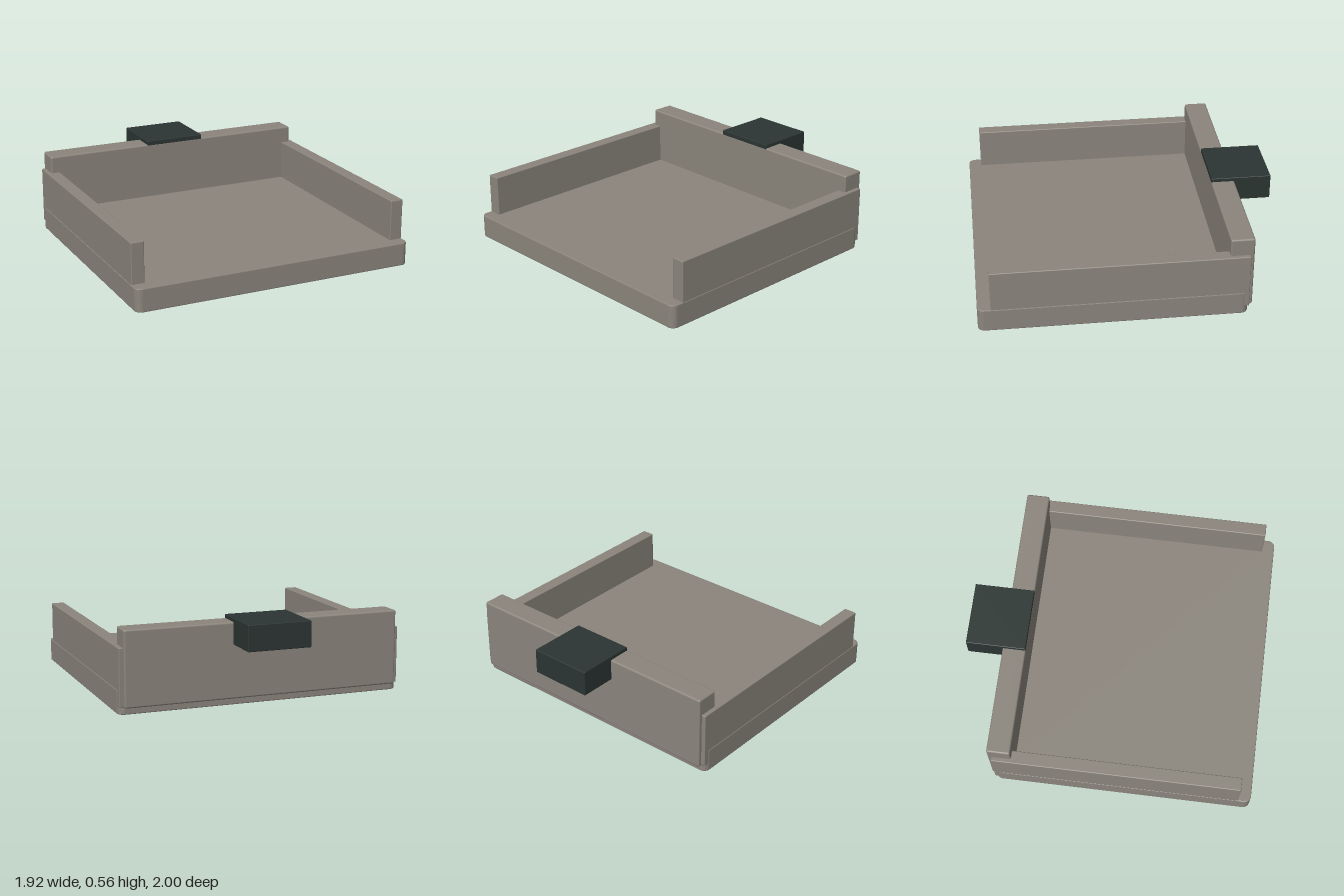
import * as THREE from 'three';
import { RoundedBoxGeometry } from 'three/addons/geometries/RoundedBoxGeometry.js';

const stone = new THREE.MeshStandardMaterial({ color: 0x8b857c });
stone.name = 'warm grey';
const dark = new THREE.MeshStandardMaterial({ color: 0x2b3533 });
dark.name = 'dark slate';

// Slightly rounded box given by its lower and upper corners
function block(name, material, [x0, y0, z0], [x1, y1, z1], radius) {
  const geometry = new RoundedBoxGeometry(x1 - x0, y1 - y0, z1 - z0, 3, radius);
  const mesh = new THREE.Mesh(geometry, material);
  mesh.name = name;
  mesh.position.set((x0 + x1) / 2, (y0 + y1) / 2, (z0 + z1) / 2);
  return mesh;
}

// Horizontal slab with rounded corners and a fine bevel on its edges
function slab(name, material, [x0, y0, z0], [x1, y1, z1], corner, bevel) {
  const a = x0 + bevel, b = x1 - bevel, c = -z1 + bevel, d = -z0 - bevel, r = corner - bevel;
  const shape = new THREE.Shape();
  shape.absarc(b - r, c + r, r, -Math.PI / 2, 0);
  shape.absarc(b - r, d - r, r, 0, Math.PI / 2);
  shape.absarc(a + r, d - r, r, Math.PI / 2, Math.PI);
  shape.absarc(a + r, c + r, r, Math.PI, Math.PI * 1.5);
  const geometry = new THREE.ExtrudeGeometry(shape, {
    depth: y1 - y0 - 2 * bevel, bevelSize: bevel, bevelThickness: bevel, bevelSegments: 2, curveSegments: 6,
  });
  geometry.rotateX(-Math.PI / 2).translate(0, y0 + bevel, 0);
  const mesh = new THREE.Mesh(geometry, material);
  mesh.name = name;
  return mesh;
}

export function createModel() {
  const model = new THREE.Group();
  model.name = 'openTray';

  // Floor of the tray
  model.add(slab('base', stone, [-0.96, 0, -0.725], [0.96, 0.155, 1], 0.045, 0.006));

  // Low walls along both sides
  model.add(block('leftWall', stone, [0.87, 0.05, -0.73], [0.957, 0.425, 0.915], 0.006));
  model.add(block('rightWall', stone, [-0.957, 0.05, -0.73], [-0.87, 0.425, 0.915], 0.006));

  // Taller wall across the back
  model.add(block('backWall', stone, [-0.93, 0.045, -0.755], [0.93, 0.54, -0.6], 0.012));

  // Dark block sitting over the back wall
  model.add(block('rearBlock', dark, [-0.212, 0.395, -1], [0.212, 0.565, -0.601], 0.005));

  return model;
}
